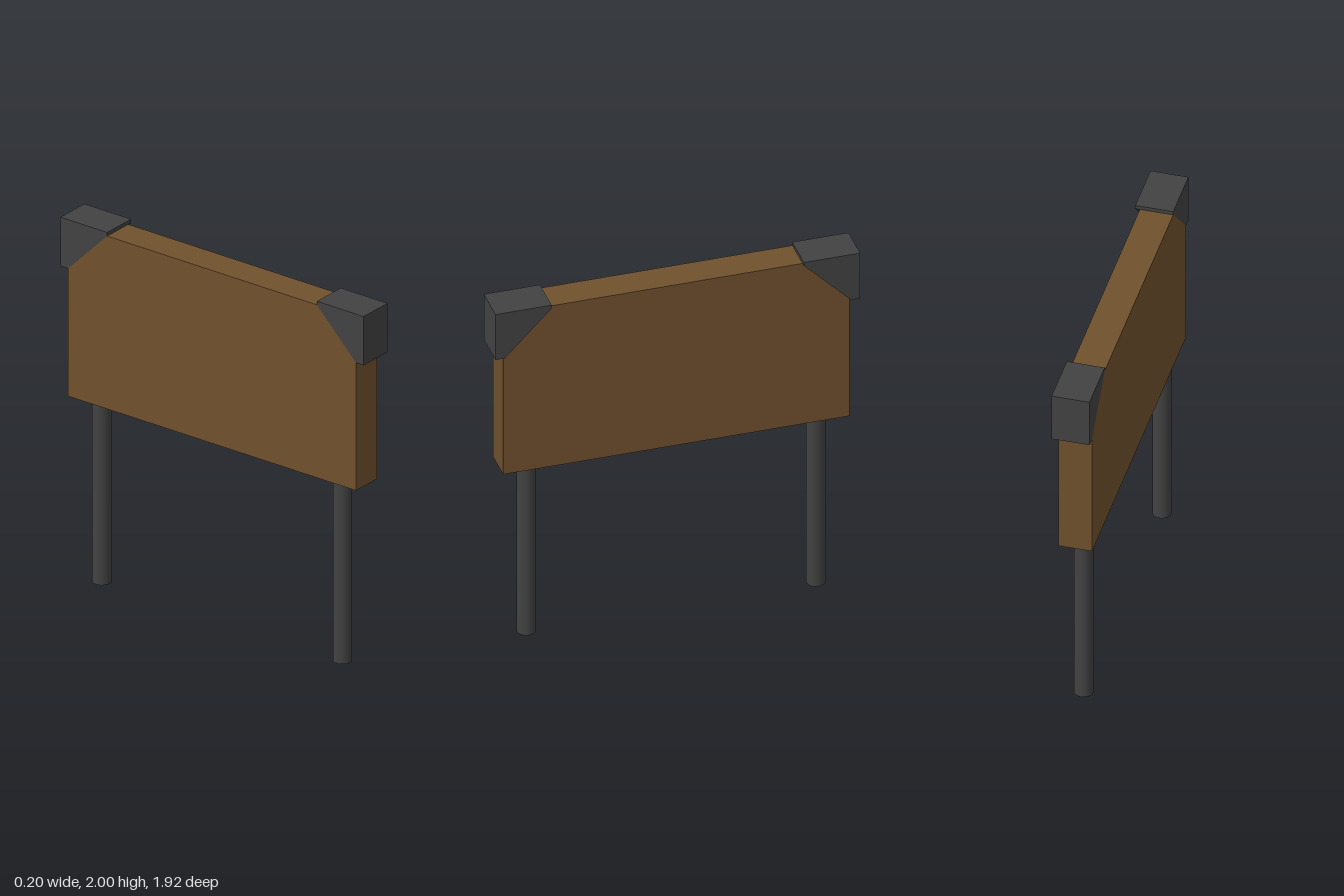
import * as THREE from 'three';

const wood = new THREE.MeshStandardMaterial({ color: 0x70512d });
wood.name = 'brown wood';
const metal = new THREE.MeshStandardMaterial({ color: 0x424242 });
metal.name = 'dark metal';

// Extrudes a side outline of [z, y] points across x, from xMin to xMax
function sideSlab(name, outline, xMin, xMax, material) {
  const shape = new THREE.Shape(outline.map(([z, y]) => new THREE.Vector2(z, y)));
  const geometry = new THREE.ExtrudeGeometry(shape, { depth: xMax - xMin, bevelEnabled: false });
  geometry.rotateY(-Math.PI / 2);
  geometry.translate(xMax, 0, 0);
  const mesh = new THREE.Mesh(geometry, material);
  mesh.name = name;
  return mesh;
}

export function createModel() {
  const model = new THREE.Group();
  model.name = 'signBoard';

  const back = -0.1, boardFace = 0.074, capFace = 0.098;
  const boardEnd = 0.912, boardTop = 1.98, boardBottom = 1.018;
  const capEnd = 0.96, capInner = 0.664, capBottom = 1.728, top = 2;

  // Board with its two upper corners cut to meet the caps
  model.add(sideSlab('board', [
    [-boardEnd, boardBottom], [boardEnd, boardBottom], [boardEnd, capBottom],
    [capInner, boardTop], [-capInner, boardTop], [-boardEnd, capBottom],
  ], back, boardFace, wood));

  for (const [side, s] of [['front', 1], ['back', -1]]) {
    // Corner cap, flush with the board on one face and proud on the other
    model.add(sideSlab(side + 'CornerCap', [
      [s * capEnd, top], [s * capInner, top], [s * capInner, boardTop],
      [s * boardEnd, capBottom], [s * capEnd, capBottom],
    ], back, capFace, metal));

    // Round post, reaching slightly into the board
    const height = boardBottom + 0.02;
    const post = new THREE.Mesh(new THREE.CylinderGeometry(0.049, 0.049, height, 32), metal);
    post.name = side + 'Post';
    post.position.set(-0.016, height / 2, s * 0.762);
    model.add(post);
  }
  return model;
}
